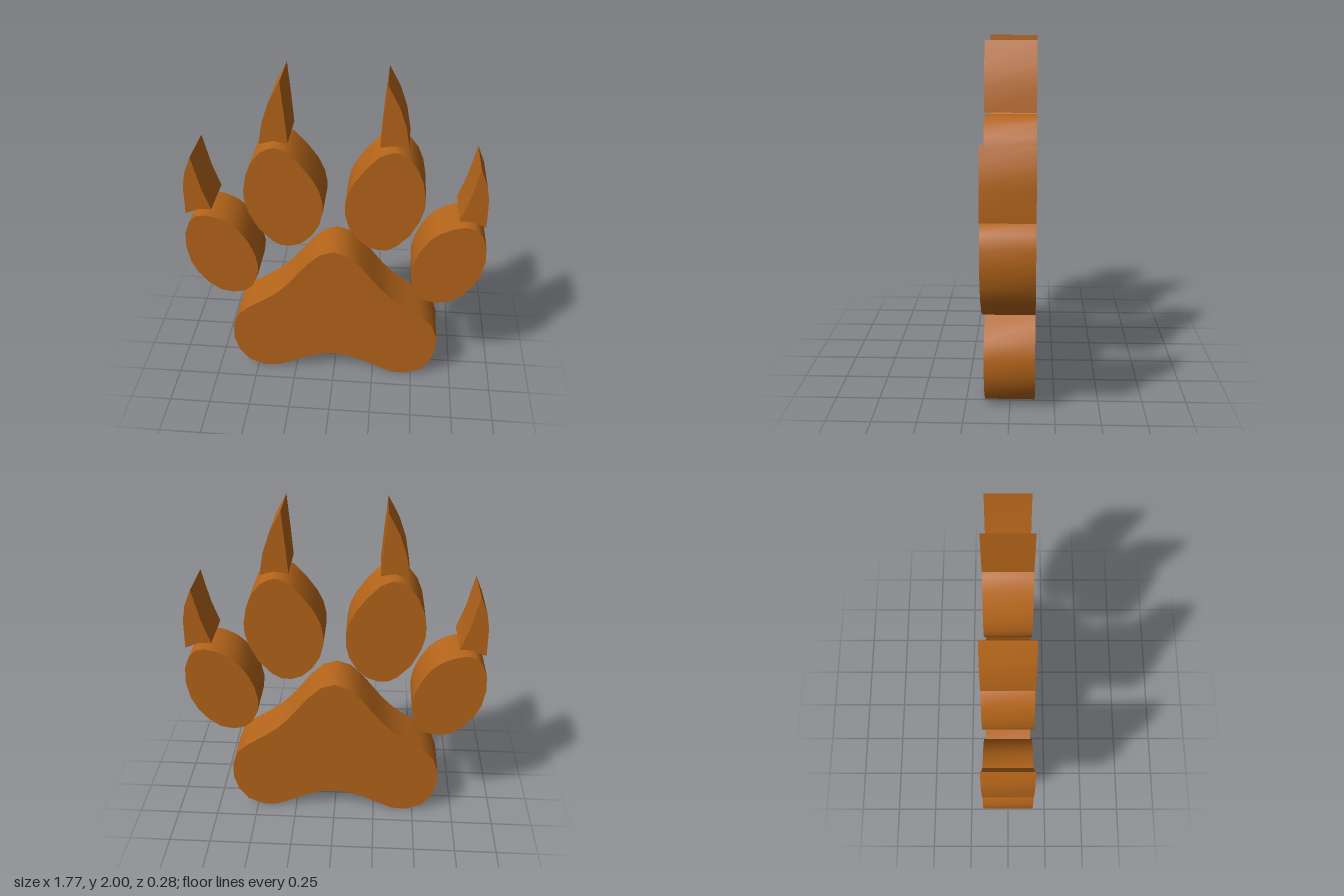
import * as THREE from 'three';
import { toCreasedNormals } from 'three/addons/utils/BufferGeometryUtils.js';

const DEPTH = 0.28;

// Outlines on the +x side, as [x, y] points
const HALF_PALM = [
  [0, 0.94], [0.085, 0.912], [0.16, 0.84], [0.23, 0.75], [0.29, 0.675], [0.36, 0.605],
  [0.45, 0.54], [0.54, 0.482], [0.61, 0.415], [0.645, 0.32], [0.647, 0.22], [0.62, 0.125],
  [0.562, 0.042], [0.46, 0], [0.37, 0.005], [0.28, 0.045], [0.19, 0.087], [0.09, 0.122], [0, 0.132],
];
const INNER_TOE = [
  [0.32, 1.615], [0.36, 1.608], [0.41, 1.58], [0.462, 1.515], [0.495, 1.435], [0.514, 1.335],
  [0.513, 1.27], [0.492, 1.19], [0.44, 1.085], [0.365, 1.005], [0.31, 0.973], [0.25, 0.973],
  [0.19, 0.995], [0.13, 1.05], [0.085, 1.125], [0.064, 1.21], [0.064, 1.27], [0.08, 1.345],
  [0.115, 1.42], [0.18, 1.51], [0.25, 1.585],
];
const OUTER_TOE = [
  [0.755, 1.157], [0.81, 1.145], [0.85, 1.105], [0.88, 1.03], [0.887, 0.93], [0.868, 0.82],
  [0.83, 0.74], [0.77, 0.665], [0.70, 0.615], [0.62, 0.6], [0.55, 0.617], [0.50, 0.66],
  [0.468, 0.73], [0.458, 0.81], [0.475, 0.90], [0.51, 0.985], [0.56, 1.06], [0.61, 1.105], [0.68, 1.14],
];
const INNER_CLAW = [
  [0.28, 2], [0.345, 1.88], [0.385, 1.765], [0.409, 1.635], [0.33, 1.657], [0.25, 1.645], [0.262, 1.8],
];
const OUTER_CLAW = [
  [0.80, 1.535], [0.842, 1.435], [0.86, 1.34], [0.864, 1.165], [0.78, 1.2], [0.71, 1.2], [0.757, 1.34],
];

const mirror = (points) => points.map(([x, y]) => [-x, y]);

export function createModel() {
  const group = new THREE.Group();
  const brown = new THREE.MeshStandardMaterial({ color: 0xb5651a });
  brown.name = 'brown';

  // Extrude an outline evenly about z = 0, rounding only the gentle corners
  function addPad(name, points, crease) {
    const shape = new THREE.Shape(points.map(([x, y]) => new THREE.Vector2(x, y)));
    const geometry = new THREE.ExtrudeGeometry(shape, { depth: DEPTH, bevelEnabled: false });
    geometry.translate(0, 0, -DEPTH / 2);
    const mesh = new THREE.Mesh(toCreasedNormals(geometry, crease), brown);
    mesh.name = name;
    group.add(mesh);
  }

  // Palm: the half outline plus its mirror image
  addPad('palmPad', [...HALF_PALM, ...mirror(HALF_PALM.slice(1, -1)).reverse()], 0.8);

  // Toes and claws, mirrored left and right
  const parts = {
    InnerToe: [INNER_TOE, 0.8],
    OuterToe: [OUTER_TOE, 0.8],
    InnerClaw: [INNER_CLAW, 0.35],
    OuterClaw: [OUTER_CLAW, 0.35],
  };
  for (const [name, [points, crease]] of Object.entries(parts)) {
    addPad('left' + name, points, crease);
    addPad('right' + name, mirror(points), crease);
  }
  return group;
}
